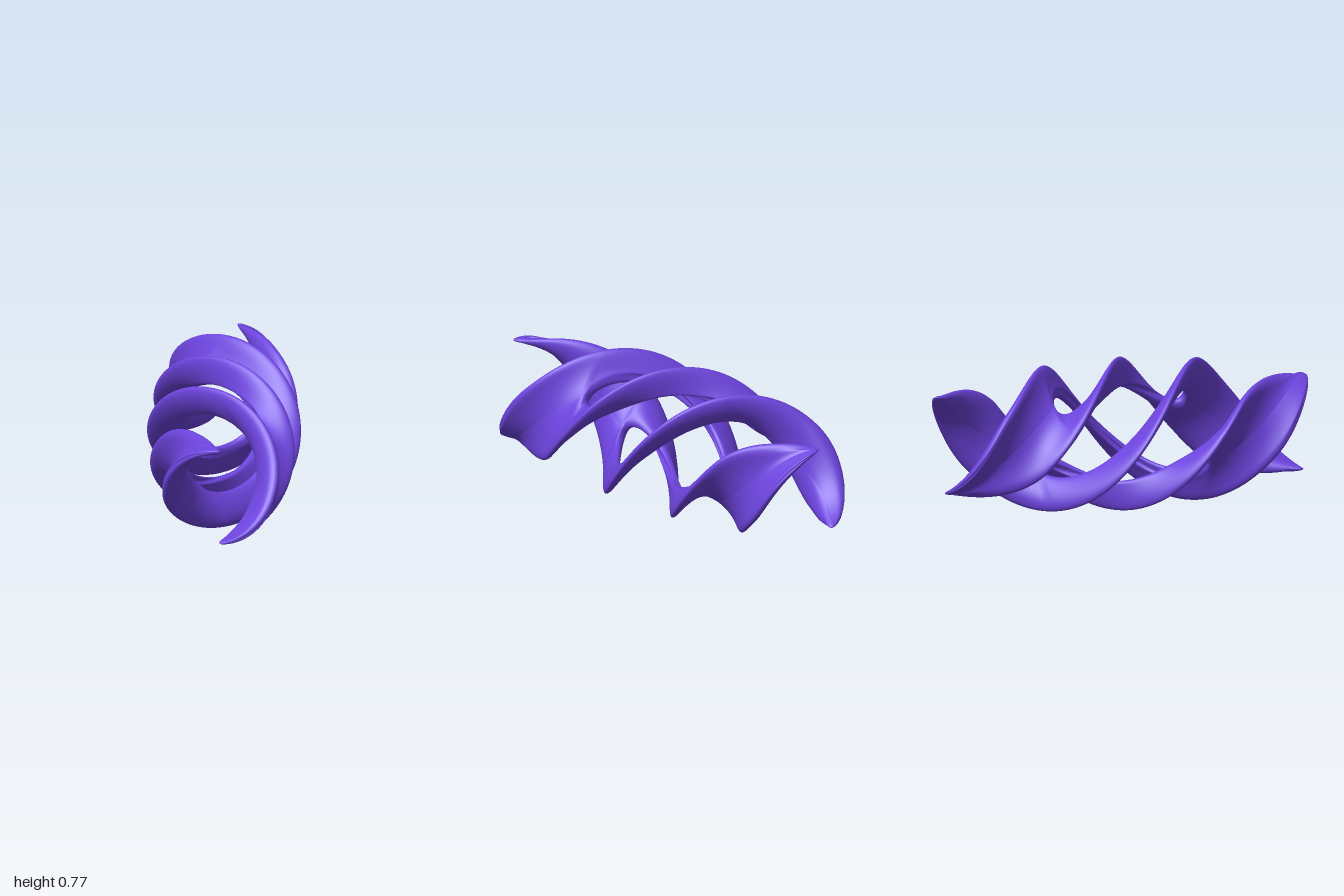
import * as THREE from 'three';

const ROWS = 220, SIDE = 24;          // rows along the axis, points per side of a section
const MID_Z = -0.03, MID_Y = 0.385;   // centre of the twist
const TWIST = Math.PI / 2 / 0.43;     // a quarter turn every 0.43 units
const clamp = (v) => Math.min(1, Math.max(0, v));

// One section of a fin: radial in the middle, bending round to meet its neighbour
// towards the ends, where both fins form an outward-facing channel with a leaf-shaped tip.
function section(t, base, side) {
  const reach = t > 0 ? 1 - MID_Z : 1 + MID_Z;
  const slot = t > 0 ? 0.445 : 0.41;  // length of the opening between the fins
  const a = Math.abs(t), end = a / reach, open = clamp(a / slot);
  const lean = 1 - (1 - open ** 2) ** 0.55;
  const depth = Math.max(0.01, Math.sqrt(1 - clamp((end - 0.72) / 0.28) ** 2));
  // the leading fin closes on the tip earlier than the trailing one
  const width = side > 0 ? Math.max(0.01, 1 - clamp((end - 0.55) / 0.45) ** 1.5) : depth;
  const turn = side * Math.sign(t) * Math.PI / 4;
  const axisAngle = base - TWIST * t - Math.sign(t) * 0.12 * THREE.MathUtils.smoothstep(end, 0.75, 1);
  const half = 0.026 + 0.007 * open;
  const rOut = 0.385 - 0.135 * t * t;
  const rIn = 0.237 - 0.029 * open ** 2 + 0.033 * THREE.MathUtils.smoothstep(a, 0.7, 1);
  const vMax = 1 + 0.3 * lean ** 4;   // joined fins overlap a little at the trough

  const midline = (v) => {
    const q = v * Math.PI / 2;
    const angle = axisAngle + turn * (1 - width + width * lean * (1 - Math.cos(q)));
    const r = rIn + (rOut - rIn) * (1 - Math.sin(q)) * depth;
    return { x: r * Math.cos(angle), y: r * Math.sin(angle), r, angle };
  };

  const ring = [];
  for (let j = 0; j < SIDE * 2; j++) {
    const s = (1 - Math.cos(Math.PI * j / SIDE)) / 2;
    const left = j < SIDE ? 1 : -1;
    const p = midline(s * vMax);
    const p0 = midline(s * vMax - 0.01), p1 = midline(s * vMax + 0.01);
    const dx = p1.x - p0.x, dy = p1.y - p0.y, len = Math.hypot(dx, dy) || 1;
    const nx = -dy / len, ny = dx / len;
    const cos = Math.cos(p.angle), sin = Math.sin(p.angle);
    // widen sideways to allow for the slant of the helix
    const nr = nx * cos + ny * sin;
    const nt = (ny * cos - nx * sin) * Math.hypot(1, TWIST * p.r);
    // slimmer at the outer rim than at the trough
    const round = Math.sqrt(Math.max(0, 1 - Math.abs(2 * s - 1) ** (s < 0.5 ? 2.5 : 4)));
    const h = left * half * depth * round;
    ring.push([p.x + h * (nr * cos - nt * sin), p.y + h * (nr * sin + nt * cos)]);
  }
  return ring;
}

// Skin the sections of one fin into a closed smooth surface
function finGeometry(base, side) {
  const pos = [], index = [], n = SIDE * 2;
  for (let i = 0; i <= ROWS; i++) {
    const z = -Math.cos(Math.PI * i / ROWS);
    for (const [x, y] of section(z - MID_Z, base, side)) pos.push(x + 0.02 * z, y + MID_Y, z);
  }
  for (let i = 0; i < ROWS; i++) {
    for (let j = 0; j < n; j++) {
      const a = i * n + j, b = i * n + (j + 1) % n;
      index.push(a, a + n, b, b, a + n, b + n);
    }
  }
  const geometry = new THREE.BufferGeometry();
  geometry.setAttribute('position', new THREE.Float32BufferAttribute(pos, 3));
  geometry.setIndex(index);
  geometry.computeVertexNormals();
  return geometry;
}

export function createModel() {
  const group = new THREE.Group();
  group.name = 'twistedSculpture';
  const material = new THREE.MeshStandardMaterial({ color: 0x6c43dc });
  // four fins a quarter turn apart, paired one way in front and the other way behind
  for (let k = 0; k < 4; k++) {
    const fin = new THREE.Mesh(finGeometry(k * Math.PI / 2, k % 2 ? 1 : -1), material);
    fin.name = 'helicalFin' + (k + 1);
    group.add(fin);
  }
  return group;
}
